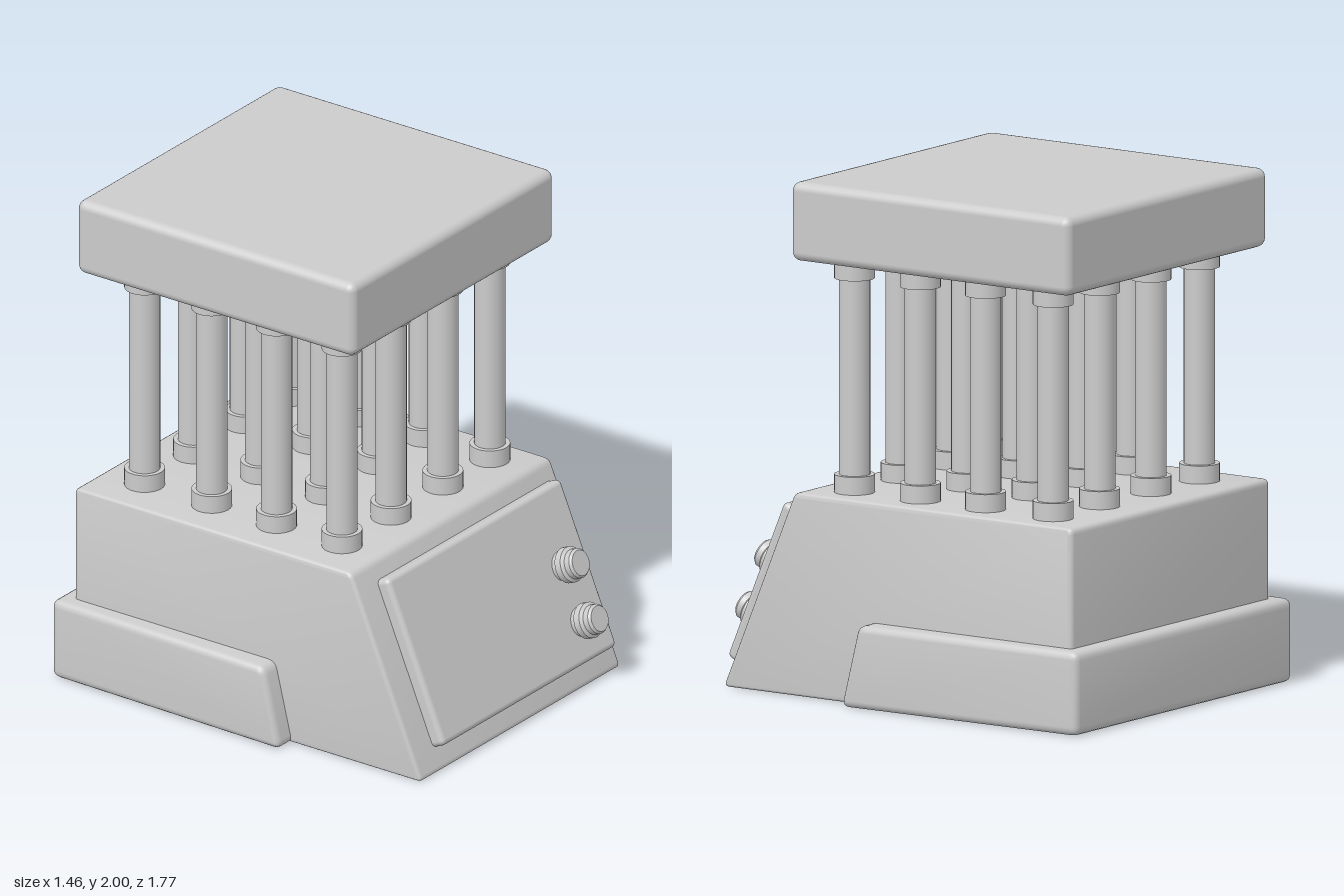
import * as THREE from 'three';
import { toCreasedNormals } from 'three/addons/utils/BufferGeometryUtils.js';
import { RoundedBoxGeometry } from 'three/addons/geometries/RoundedBoxGeometry.js';

const material = new THREE.MeshStandardMaterial({ color: 0xcccccc });

function addMesh(parent, name, geometry, x = 0, y = 0, z = 0) {
  const mesh = new THREE.Mesh(geometry, material);
  mesh.name = name;
  mesh.position.set(x, y, z);
  parent.add(mesh);
  return mesh;
}

// Polygon of [z, y] corners, each softened by a small curve
function softPolygon(corners, r) {
  const pts = corners.map(([a, b]) => new THREE.Vector2(a, b));
  const shape = new THREE.Shape();
  pts.forEach((p, i) => {
    const prev = pts[(i + pts.length - 1) % pts.length];
    const next = pts[(i + 1) % pts.length];
    const a = prev.clone().sub(p).setLength(r).add(p);
    const b = next.clone().sub(p).setLength(r).add(p);
    if (i === 0) shape.moveTo(a.x, a.y);
    else shape.lineTo(a.x, a.y);
    shape.quadraticCurveTo(p.x, p.y, b.x, b.y);
  });
  shape.closePath();
  return shape;
}

// Side profile extruded across x with rounded edges
function sideExtrude(corners, width, bevel, radius) {
  const geo = new THREE.ExtrudeGeometry(softPolygon(corners, radius), {
    depth: width - 2 * bevel, bevelEnabled: true, bevelThickness: bevel,
    bevelSize: bevel, bevelOffset: -bevel, bevelSegments: 4, curveSegments: 4,
  });
  geo.translate(0, 0, -(width - 2 * bevel) / 2);
  geo.rotateY(-Math.PI / 2);
  return geo;
}

export function createModel() {
  const model = new THREE.Group();
  model.name = 'columnMachine';

  // Base housing with sloping front
  const body = sideExtrude([[0.83, 0], [0.495, 0.79], [-0.81, 0.79], [-0.81, 0]], 1.295, 0.018, 0.025);
  addMesh(model, 'baseHousing', toCreasedNormals(body, 0.6), -0.002);

  // Lower skirt round the sides and back, narrowing slightly to the rear
  const skirt = sideExtrude([[0.22, 0], [0.14, 0.325], [-0.875, 0.325], [-0.875, 0]], 1.465, 0.028, 0.035);
  const pos = skirt.attributes.position;
  for (let i = 0; i < pos.count; i++) {
    pos.setX(i, pos.getX(i) * (1 - 0.031 * (0.2 - pos.getZ(i))));
  }
  addMesh(model, 'lowerSkirt', toCreasedNormals(skirt, 0.6), -0.002);

  // Top slab
  addMesh(model, 'topSlab', new RoundedBoxGeometry(1.308, 0.306, 1.31, 3, 0.035), 0.014, 1.845, -0.155);

  // Four by four columns, each with a collar at both ends
  const shaft = new THREE.CylinderGeometry(0.06, 0.06, 0.92, 32);
  const collar = new THREE.CylinderGeometry(0.078, 0.078, 0.09, 32);
  const columns = new THREE.Group();
  columns.name = 'columns';
  model.add(columns);
  for (const x of [-0.46, -0.143, 0.192, 0.496]) {
    for (const z of [0.317, 0.008, -0.298, -0.615]) {
      const column = new THREE.Group();
      column.name = 'column';
      column.position.set(x, 0, z);
      columns.add(column);
      addMesh(column, 'shaft', shaft, 0, 1.24);
      addMesh(column, 'lowerCollar', collar, 0, 0.815);
      addMesh(column, 'upperCollar', collar, 0, 1.665);
    }
  }

  // Control panel lying on the sloping front
  const panel = new THREE.Group();
  panel.name = 'controlPanel';
  panel.position.set(0, 0.395, 0.662);
  panel.rotation.x = -Math.atan2(0.335, 0.79);
  model.add(panel);
  addMesh(panel, 'panelPlate', new RoundedBoxGeometry(1.125, 0.685, 0.12, 3, 0.022), 0.043, 0.01, -0.005);

  // Two stepped knobs
  const profile = [[0.058, 0.03], [0.058, 0.072], [0.07, 0.08], [0.07, 0.108],
    [0.058, 0.118], [0.058, 0.142], [0.05, 0.152], [0, 0.152]].map(([r, h]) => new THREE.Vector2(r, h));
  const knob = toCreasedNormals(new THREE.LatheGeometry(profile, 32).rotateX(Math.PI / 2), 0.5);
  for (const y of [0.05, -0.178]) addMesh(panel, 'knob', knob, 0.447, y);

  return model;
}
